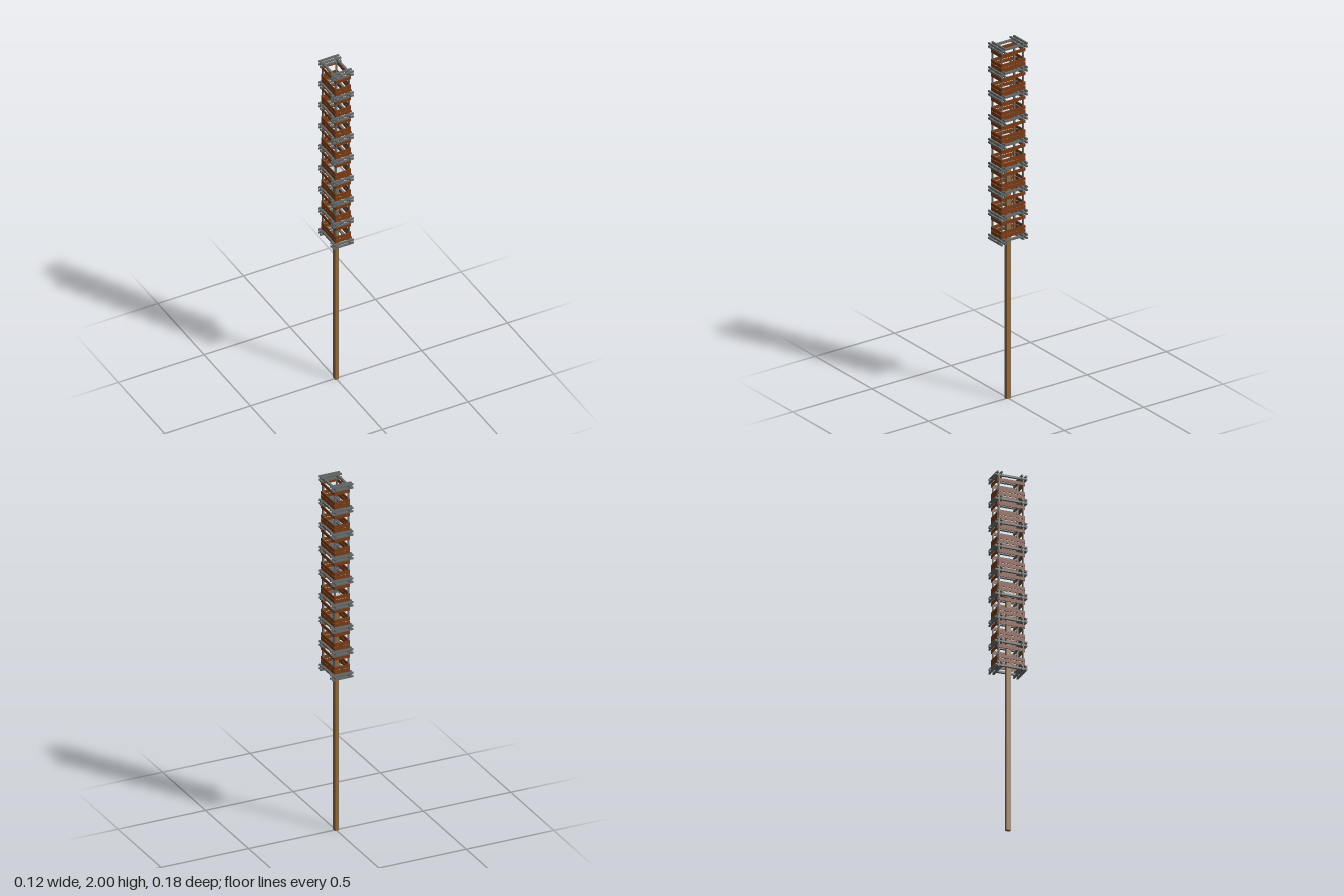
import * as THREE from 'three';

export function createModel() {
  const model = new THREE.Group();
  const paint = (color) => new THREE.MeshStandardMaterial({ color });
  const iron = paint(0x686a6a), slatWood = paint(0x7a3c16), poleWood = paint(0x8f6c42), grey = paint(0xcccccc);

  const box = (parent, name, material, size, position) => {
    const mesh = new THREE.Mesh(new THREE.BoxGeometry(...size), material);
    mesh.name = name;
    mesh.position.set(...position);
    parent.add(mesh);
    return mesh;
  };

  const FRAMES = 9, TOP = 1.986, PITCH = 0.1345;
  const POST_X = 0.039, POST_Z = 0.068;

  // Supporting pole with its cap plate inside the tower
  box(model, 'pole', poleWood, [0.02, 1.32, 0.026], [0, 0.66, 0]);
  box(model, 'poleBracket', slatWood, [0.036, 0.012, 0.066], [0.004, 1.321, -0.001]);
  box(model, 'poleCap', grey, [0.056, 0.008, 0.064], [0, 1.331, 0]);

  // Corner posts
  for (const sx of [-1, 1]) for (const sz of [-1, 1]) {
    box(model, 'cornerPost', iron, [0.008, 1.09, 0.008], [sx * POST_X, 1.447, sz * POST_Z]);
  }

  // Clamped frames: two side bars gripped by cross bars above and below
  for (let i = 0; i < FRAMES; i++) {
    const frame = new THREE.Group();
    frame.name = 'frame';
    frame.position.y = TOP - i * PITCH;
    for (const sx of [-1, 1]) {
      box(frame, 'sideBar', iron, [0.012, 0.01, 0.18], [sx * 0.04, 0, 0]);
    }
    for (const z of [-0.08, -0.058, 0.056, 0.078]) {
      for (const sy of [-1, 1]) {
        box(frame, 'crossBar', iron, [0.12, 0.009, 0.009], [0, sy * 0.0095, z]);
      }
    }
    model.add(frame);
  }

  // Three rows of slats around every bay
  for (let i = 0; i < FRAMES - 1; i++) {
    const bay = new THREE.Group();
    bay.name = 'slatBay';
    bay.position.y = TOP - i * PITCH;
    for (const y of [-0.028, -0.084, -0.106]) {
      for (const z of [-0.0745, 0.0745]) {
        box(bay, 'endSlat', slatWood, [0.09, 0.018, 0.004], [0.002, y, z]);
      }
      for (const x of [-0.043, 0.0455]) {
        box(bay, 'sideSlat', slatWood, [0.004, 0.018, 0.144], [x, y, 0]);
      }
    }
    model.add(bay);
  }
  return model;
}
